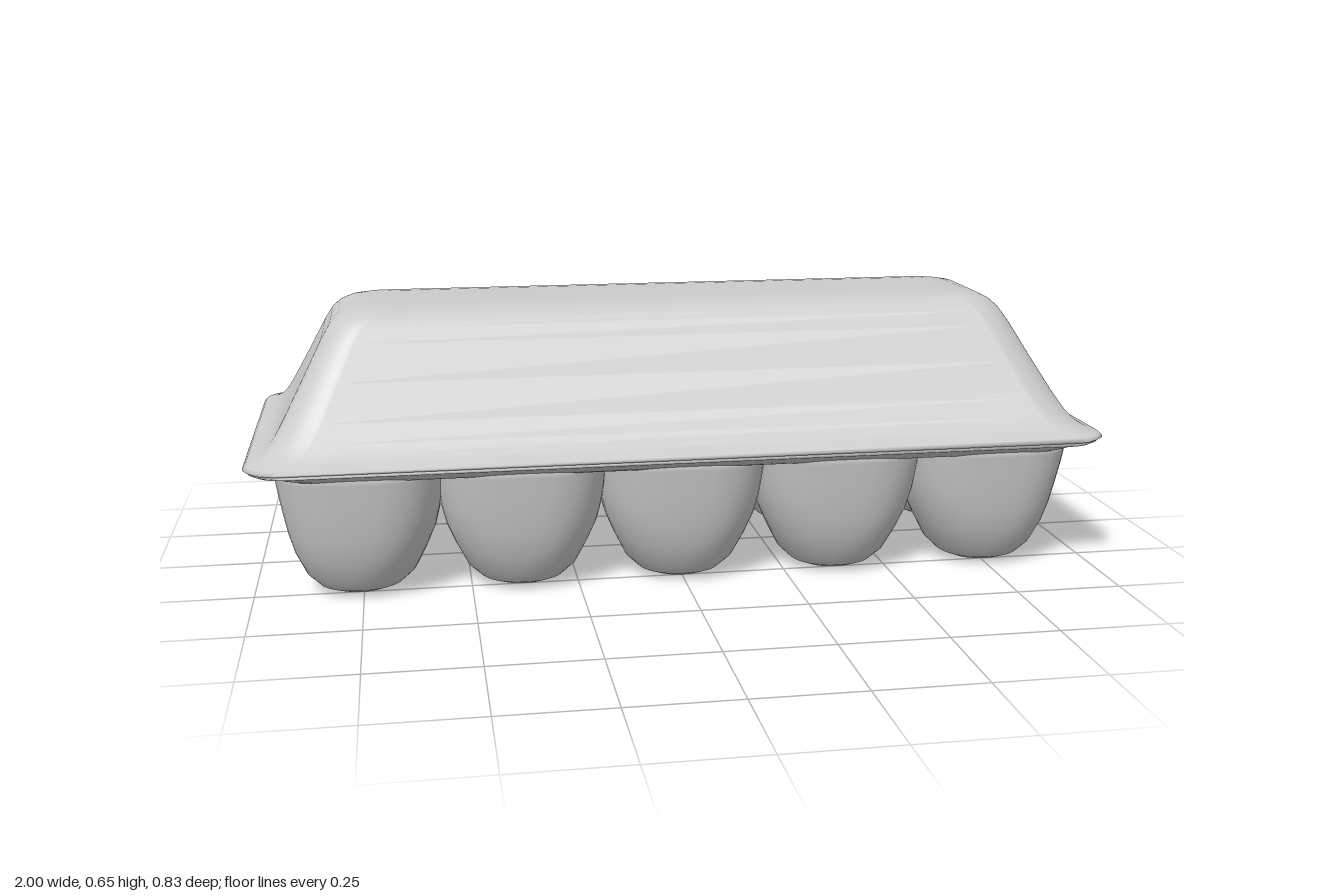
import * as THREE from 'three';

const material = new THREE.MeshStandardMaterial({ color: 0xcccccc });

// Skins a stack of rings (bottom to top, each a list of [x, z]) and caps both ends.
function loft(name, rings, heights) {
  const n = rings[0].length;
  const pos = [], index = [];
  rings.forEach((ring, i) => ring.forEach(([x, z]) => pos.push(x, heights[i], z)));
  for (let i = 0; i < rings.length - 1; i++) {
    for (let j = 0; j < n; j++) {
      const a = i * n + j, b = i * n + (j + 1) % n;
      index.push(a, a + n, b, b, a + n, b + n);
    }
  }
  const last = rings.length - 1;
  for (const [i, top] of [[0, false], [last, true]]) {
    const c = pos.length / 3;
    const mean = (k) => rings[i].reduce((s, p) => s + p[k], 0) / n;
    pos.push(mean(0), heights[i], mean(1));
    for (let j = 0; j < n; j++) {
      const a = i * n + j, b = i * n + (j + 1) % n;
      index.push(c, top ? b : a, top ? a : b);
    }
  }
  const geometry = new THREE.BufferGeometry();
  geometry.setAttribute('position', new THREE.Float32BufferAttribute(pos, 3));
  geometry.setIndex(index);
  geometry.computeVertexNormals();
  const mesh = new THREE.Mesh(geometry, material);
  mesh.name = name;
  return mesh;
}

// Rounded rectangle ring with half sizes w, d and corner radius r.
function roundedRect(w, d, r, steps = 10) {
  const ring = [];
  for (let q = 0; q < 4; q++) {
    const sx = q === 0 || q === 3 ? 1 : -1, sz = q < 2 ? 1 : -1;
    for (let s = 0; s <= steps; s++) {
      const t = (q + s / steps) * Math.PI / 2;
      ring.push([sx * (w - r) + r * Math.cos(t), sz * (d - r) + r * Math.sin(t)]);
    }
  }
  return ring;
}

// Rows of [y, half width, half depth, corner radius].
function tray(name, rows) {
  return loft(name, rows.map(([, w, d, r]) => roundedRect(w, d, r)), rows.map((p) => p[0]));
}

// Cup rows of [y, reach towards an outer wall, reach towards a neighbouring cup].
const cupRows = [
  [0, 0.035, 0.035], [0.003, 0.07, 0.07], [0.016, 0.1, 0.1], [0.045, 0.127, 0.13],
  [0.1, 0.151, 0.157], [0.15, 0.164, 0.178], [0.2, 0.173, 0.19],
  [0.25, 0.181, 0.196], [0.29, 0.186, 0.199], [0.312, 0.19, 0.2],
];

// One egg cup: superellipse sections growing squarer towards the top.
function eggCup(cx, cz, column) {
  const segments = 48;
  const rings = cupRows.map(([y, outer, inner]) => {
    const power = 2 / (2.1 + 1.1 * y / 0.31);
    const ring = [];
    for (let j = 0; j < segments; j++) {
      const t = j / segments * Math.PI * 2, c = Math.cos(t), s = Math.sin(t);
      const wallX = column !== 0 && Math.abs(column) === 2 && c * column > 0;
      const wallZ = s * cz > 0;
      ring.push([
        cx + Math.sign(c) * Math.abs(c) ** power * (wallX ? outer : inner),
        cz + Math.sign(s) * Math.abs(s) ** power * (wallZ ? outer : inner),
      ]);
    }
    return ring;
  });
  return loft('eggCup', rings, cupRows.map((p) => p[0]));
}

export function createModel() {
  const model = new THREE.Group();
  model.name = 'eggCarton';

  // Two rows of five cups
  const cups = new THREE.Group();
  cups.name = 'eggCups';
  for (let column = -2; column <= 2; column++) {
    for (const side of [-1, 1]) cups.add(eggCup(column * 0.378, side * 0.19, column));
  }
  model.add(cups);

  // Flange of the lower tray
  model.add(tray('trayRim', [
    [0.296, 0.925, 0.365, 0.1],
    [0.305, 0.942, 0.382, 0.09],
    [0.313, 0.955, 0.39, 0.08],
    [0.317, 0.98, 0.402, 0.075],
    [0.322, 0.99, 0.407, 0.075],
    [0.326, 0.985, 0.402, 0.075],
  ]));

  // Sloping lid with a flared lip and a softly rounded top
  model.add(tray('lid', [
    [0.323, 0.98, 0.397, 0.07],
    [0.326, 0.993, 0.408, 0.075],
    [0.332, 1.0, 0.414, 0.075],
    [0.339, 0.994, 0.407, 0.075],
    [0.346, 0.972, 0.39, 0.075],
    [0.358, 0.952, 0.372, 0.08],
    [0.38, 0.934, 0.35, 0.085],
    [0.42, 0.911, 0.319, 0.085],
    [0.5, 0.868, 0.268, 0.08],
    [0.58, 0.826, 0.22, 0.075],
    [0.612, 0.806, 0.2, 0.075],
    [0.63, 0.787, 0.183, 0.075],
    [0.641, 0.765, 0.164, 0.07],
    [0.647, 0.738, 0.138, 0.06],
    [0.65, 0.7, 0.1, 0.045],
    [0.65, 0.65, 0.05, 0.03],
  ]));

  return model;
}
